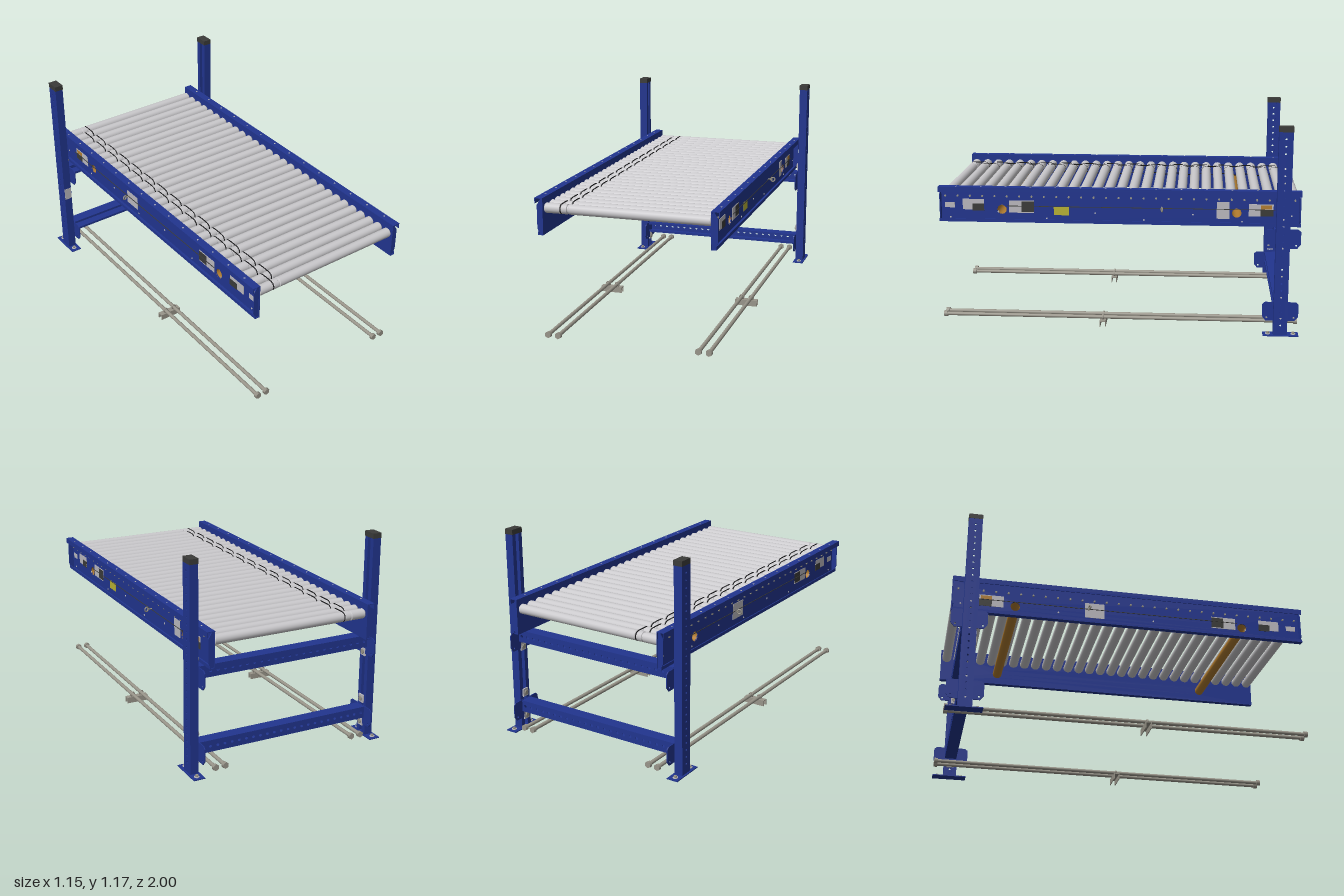
import * as THREE from 'three';

const flat = (name, color) => new THREE.MeshStandardMaterial({ name, color });

export function createModel() {
  const root = new THREE.Group();
  root.name = 'rollerConveyor';
  const blue = flat('blue paint', 0x21358f);
  const silver = flat('roller silver', 0xc9c8cb);
  const ochre = flat('ochre tube', 0xb27d30);
  ochre.side = THREE.DoubleSide;
  const steel = flat('dull steel', 0x99958a);
  const dark = flat('black rubber', 0x1a1a1c);
  const cap = flat('cap grey', 0x3b3b39);
  const label = flat('label grey', 0xbcbac0);
  const yellow = flat('label yellow', 0xb9b234);

  const add = (name, geo, mat, x = 0, y = 0, z = 0, parent = root) => {
    const m = new THREE.Mesh(geo, mat);
    m.name = name;
    m.position.set(x, y, z);
    parent.add(m);
    return m;
  };
  // Box given by its minimum and maximum corners
  const box = (name, mat, x0, x1, y0, y1, z0, z1, parent) =>
    add(name, new THREE.BoxGeometry(Math.abs(x1 - x0), y1 - y0, Math.abs(z1 - z0)), mat,
      (x0 + x1) / 2, (y0 + y1) / 2, (z0 + z1) / 2, parent);
  // Round or hexagonal bar lying along x or z, or standing along y
  const bar = (name, mat, axis, r, len, x, y, z, sides = 6) => {
    const g = new THREE.CylinderGeometry(r, r, len, sides);
    if (axis === 'x') g.rotateZ(Math.PI / 2);
    if (axis === 'z') g.rotateX(Math.PI / 2);
    return add(name, g, mat, x, y, z);
  };
  // Flat sheet with round holes [u, v, radius]
  const sheet = (points, holes, depth) => {
    const s = new THREE.Shape(points.map(p => new THREE.Vector2(...p)));
    for (const [u, v, r] of holes) {
      const h = new THREE.Path();
      h.absarc(u, v, r, 0, Math.PI * 2, true);
      s.holes.push(h);
    }
    const g = new THREE.ExtrudeGeometry(s, { depth, bevelEnabled: false, curveSegments: 6 });
    return g.translate(0, 0, -depth / 2);
  };
  const rect = (a, b, c, d) => [[a, c], [b, c], [b, d], [a, d]];
  const sideSheet = (...args) => sheet(...args).rotateY(-Math.PI / 2); // u runs along z

  // Rollers with two belt grooves near the right end
  const N = 29, pitch = 0.069, rollerY = 0.743, R = 0.0275;
  const rollerZ = i => (i - (N - 1) / 2) * pitch;
  const profile = [
    [0, -0.453], [0.021, -0.453], [R, -0.446], [R, -0.366], [0.023, -0.363], [0.023, -0.357], [R, -0.354],
    [R, -0.326], [0.023, -0.323], [0.023, -0.317], [R, -0.314], [R, 0.446], [0.021, 0.453], [0, 0.453],
  ].map(p => new THREE.Vector2(...p));
  // Each profile step is its own lathe so that its edges stay sharp
  const rollerParts = profile.slice(1).map((p, i) =>
    new THREE.LatheGeometry([profile[i], p], 20).rotateZ(-Math.PI / 2));
  for (let i = 0; i < N; i++) {
    const roller = new THREE.Group();
    roller.name = 'roller';
    roller.position.set(0, rollerY, rollerZ(i));
    rollerParts.forEach(g => add('rollerSection', g, silver, 0, 0, 0, roller));
    root.add(roller);
    bar('axle', steel, 'x', 0.006, 0.934, 0, rollerY, rollerZ(i));
  }

  // Drive belts link neighbouring rollers, alternating between the grooves
  const loop = [];
  for (let k = 0; k < 2; k++)
    for (let j = 0; j <= 8; j++) {
      const a = Math.PI * (k + j / 8);
      loop.push(new THREE.Vector3(0, Math.cos(a) * 0.0255, Math.sin(a) * 0.0255 + (k ? -pitch / 2 : pitch / 2)));
    }
  const beltGeo = new THREE.TubeGeometry(new THREE.CatmullRomCurve3(loop, true), 36, 0.003, 5, true);
  for (let i = 0; i < N - 1; i++)
    add('belt', beltGeo, dark, i % 2 ? -0.36 : -0.32, rollerY, (rollerZ(i) + rollerZ(i + 1)) / 2);

  // Hollow cross tubes under the rollers
  for (const z of [-0.65, 0.65]) {
    const g = new THREE.CylinderGeometry(0.027, 0.027, 0.92, 24, 1, true).rotateZ(Math.PI / 2);
    add('crossTube', g, ochre, 0, 0.667, z);
  }

  // Labels on the rails: [z0, z1, y0, y1, material]
  const labels = [
    [0.97, 0.915, 0.675, 0.705, label], [0.87, 0.75, 0.665, 0.725, label], [0.815, 0.75, 0.66, 0.7, cap],
    [0.61, 0.47, 0.65, 0.72, label], [0.54, 0.47, 0.655, 0.715, cap], [0.36, 0.275, 0.64, 0.688, yellow],
    [-0.54, -0.61, 0.635, 0.73, label], [-0.715, -0.85, 0.652, 0.72, label], [-0.78, -0.85, 0.652, 0.69, cap],
    [-0.78, -0.84, 0.692, 0.715, ochre],
  ];
  const leftOnly = [0.36, -0.54];

  for (const s of [-1, 1]) {
    // Side rail: web, top flange with lip, bottom flange with lip
    const webHoles = [[0.65, 0.667, 0.0265], [-0.65, 0.667, 0.0265]];
    add('railWeb', sideSheet(rect(-1, 1, 0.6, 0.8), webHoles, 0.004), blue, s * 0.457);
    box('railTopFlange', blue, s * 0.455, s * 0.5, 0.796, 0.8, -1, 1);
    box('railTopLip', blue, s * 0.496, s * 0.5, 0.77, 0.797, -1, 1);
    box('railBottomFlange', blue, s * 0.455, s * 0.484, 0.6, 0.604, -1, 1);
    box('railBottomLip', blue, s * 0.48, s * 0.484, 0.602, 0.618, -1, 1);
    const end = [[0.456, 0.6], [0.478, 0.602], [0.49, 0.635], [0.49, 0.76], [0.468, 0.797], [0.456, 0.797]]
      .map(([x, y]) => [s * x, y]);
    for (const z of [-0.992, 0.992]) add('railEndPlate', sheet(end, [], 0.005), blue, 0, 0, z);
    for (let i = 0; i < 14; i++)
      bar('flangeHole', label, 'y', 0.005, 0.002, s * 0.48, 0.8005, -0.9 + i * 0.1385, 8);
    for (let i = 0; i < 8; i++)
      bar('webRivet', label, 'x', 0.005, 0.004, s * 0.46, i % 2 ? 0.62 : 0.655, -0.95 + i * 0.27, 6);
    labels.forEach(([z0, z1, y0, y1, mat], i) => {
      if (s < 0 && leftOnly.includes(z0)) return;
      const x = s * (0.4595 + i * 0.0002);
      box('railLabel', mat, x, x + s * 0.002, y0, y1, z0, z1);
    });
    if (s < 0) box('railLabel', label, -0.4595, -0.462, 0.64, 0.73, -0.15, -0.26);
    // Pull cord with its eye bolt
    box('pullCord', cap, s * 0.466, s * 0.469, 0.688, 0.691, -0.86, 0.62);
    const eye = add('cordEye', new THREE.TorusGeometry(0.012, 0.004, 6, 14), steel, s * 0.49, 0.688, -0.24);
    eye.rotation.y = 0.3;
    bar('eyeBolt', steel, 'x', 0.004, 0.03, s * 0.472, 0.688, -0.24, 8);

    // Upright: perforated outer web, side flanges and inward lips
    const holes = Array.from({ length: 27 }, (_, i) => [-0.899, 0.06 + i * 0.04, 0.0055]);
    add('postWeb', sideSheet(rect(-0.937, -0.861, 0.004, 1.14), holes, 0.004), blue, s * 0.563);
    for (const [z, t] of [[-0.861, -1], [-0.937, 1]]) {
      box('postFlange', blue, s * 0.517, s * 0.565, 0.004, 1.14, z, z + t * 0.004);
      box('postLip', blue, s * 0.517, s * 0.521, 0.004, 1.14, z, z + t * 0.026);
    }
    box('postCap', cap, s * 0.515, s * 0.566, 1.138, 1.166, -0.938, -0.86);
    box('basePlate', blue, s * 0.51, s * 0.575, 0, 0.005, -1, -0.804);
    for (const z of [-0.972, -0.832]) {
      bar('anchorWasher', label, 'y', 0.014, 0.004, s * 0.545, 0.007, z, 14);
      bar('anchorBolt', steel, 'y', 0.009, 0.012, s * 0.545, 0.012, z);
    }

    // Beam brackets and their bolts on both heights
    for (const y of [0.07, 0.485]) {
      const shape = [[-0.98, y], [-0.82, y], [-0.8, y + 0.025], [-0.8, y + 0.095], [-0.815, y + 0.108],
        [-0.985, y + 0.108], [-1, y + 0.095], [-1, y + 0.025]];
      const slots = [[-0.975, y + 0.018, 0.006], [-0.825, y + 0.018, 0.006]];
      add('beamBracket', sideSheet(shape, slots, 0.005), blue, s * 0.512);
      for (const v of [y + 0.008, y + 0.145]) {
        box('boltPlate', label, s * 0.508, s * 0.516, v - 0.023, v + 0.023, -0.92, -0.88);
        bar('bracketNut', steel, 'x', 0.014, 0.01, s * 0.506, v, -0.9);
      }
    }

    // Floor guide: two rods with hex ends resting on a channel
    for (const x of [0.39, 0.447]) {
      bar('guideRod', steel, 'z', 0.0105, 1.98, s * x, 0.047, 0, 12);
      for (const z of [-0.99, 0.99]) bar('rodNut', steel, 'z', 0.018, 0.02, s * x, 0.047, z);
      const clip = add('rodClip', new THREE.TorusGeometry(0.013, 0.003, 6, 16), steel, s * x, 0.047, 0.09);
      clip.scale.z = 2;
    }
    box('floorChannelTop', steel, s * 0.355, s * 0.485, 0.03, 0.035, 0.073, 0.107);
    for (const z of [0.073, 0.103])
      box('floorChannelSide', steel, s * 0.355, s * 0.485, 0, 0.032, z, z + 0.004);
  }

  // Perforated cross beams between the uprights
  for (const [y0, y1] of [[0.11, 0.176], [0.53, 0.598]]) {
    const mid = (y0 + y1) / 2;
    const holes = Array.from({ length: 24 }, (_, i) => [(i - 11.5) * 0.0425, mid, 0.0085]);
    add('beamWeb', sheet(rect(-0.512, 0.512, y0, y1), holes, 0.004), blue, 0, 0, -0.932);
    for (const [y, t] of [[y0, 1], [y1, -1]]) {
      const a = Math.min(y, y + t * 0.004), b = Math.min(y, y + t * 0.014);
      box('beamFlange', blue, -0.512, 0.512, a, a + 0.004, -0.934, -0.866);
      box('beamLip', blue, -0.512, 0.512, b, b + 0.014, -0.87, -0.866);
    }
  }

  // Load label on the front of the right upright
  box('postLabel', label, -0.563, -0.519, 0.37, 0.445, -0.861, -0.859);
  return root;
}
